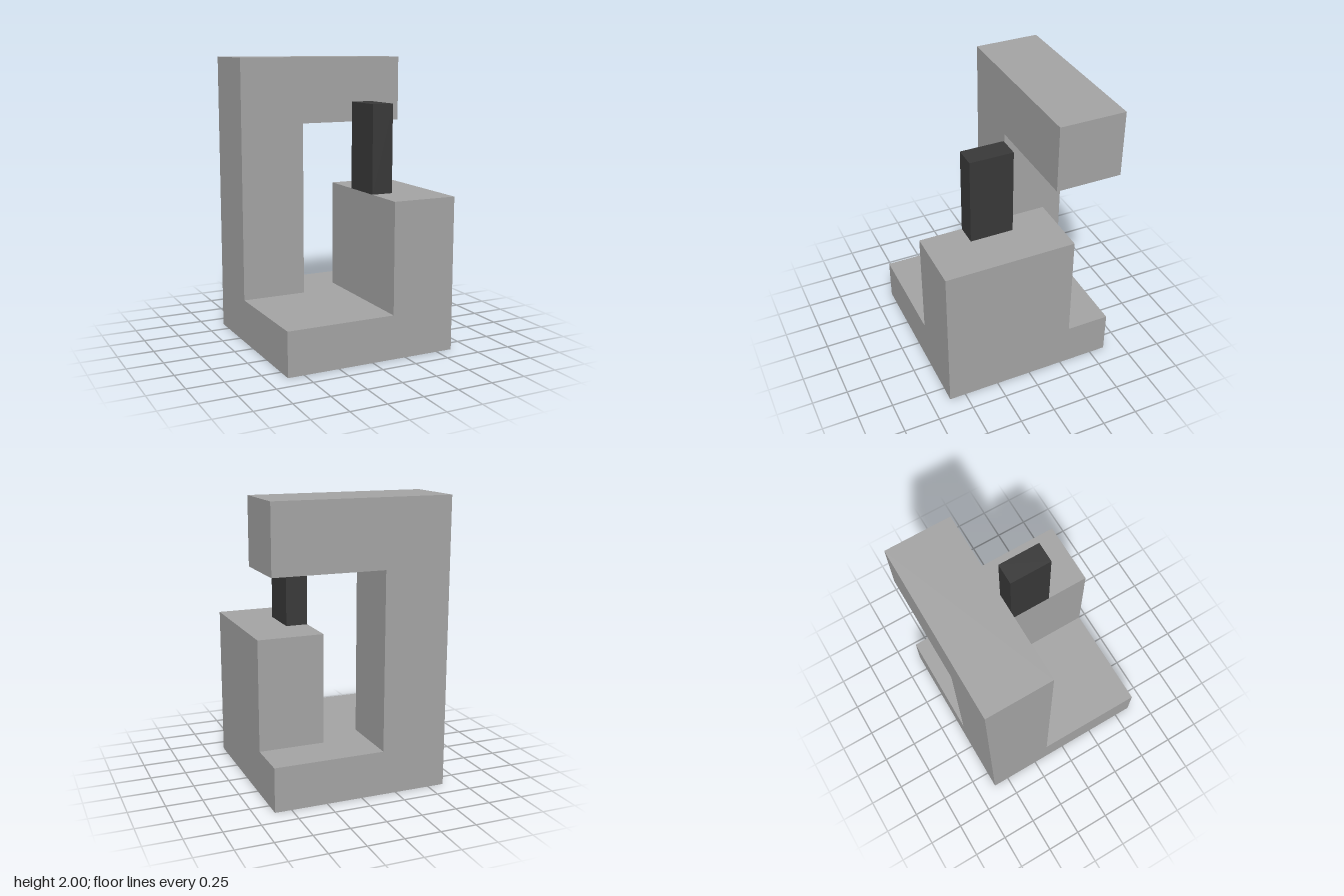
import * as THREE from 'three';

// All parts sit on a grid of 13 units to the full height of 2.
const U = 2 / 13;

export function createModel() {
  const model = new THREE.Group();
  model.name = 'blockStand';

  const grey = new THREE.MeshStandardMaterial({ color: 0xa3a3a3 });
  grey.name = 'grey';
  const charcoal = new THREE.MeshStandardMaterial({ color: 0x383838 });
  charcoal.name = 'charcoal';

  // Box between two opposite corners, in grid units.
  function block(name, min, max, material) {
    const [w, h, d] = max.map((v, i) => (v - min[i]) * U);
    const mesh = new THREE.Mesh(new THREE.BoxGeometry(w, h, d), material);
    mesh.position.set(...max.map((v, i) => ((v + min[i]) / 2) * U));
    mesh.name = name;
    model.add(mesh);
  }

  // Square base plate
  block('base', [-4, 0, -4], [4, 2, 4], grey);
  // Rear column and the arm that reaches over from its top
  block('column', [-4, 2, -4], [-1, 10, -1], grey);
  block('topArm', [-4, 10, -4], [4, 13, -1], grey);
  // Pedestal at the side, stopping short of the back edge
  block('pedestal', [1, 2, -2], [4, 7, 4], grey);
  // Dark upright on the pedestal's inner edge
  block('darkUpright', [1, 7, 0], [2, 11, 2], charcoal);

  return model;
}
